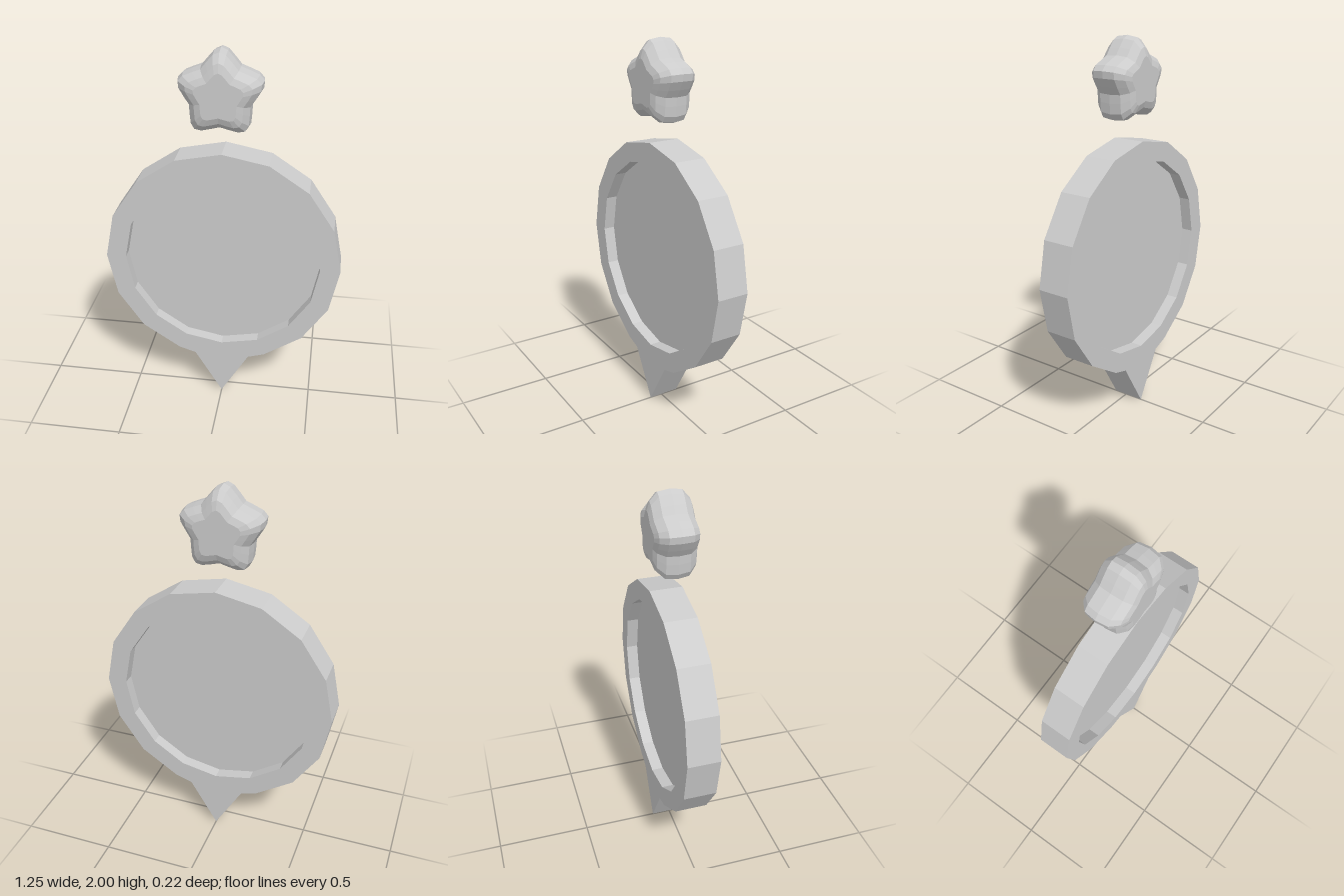
import * as THREE from 'three';

const CY = 0.86; // centre height of the disc
const material = new THREE.MeshStandardMaterial({ color: 0xcccccc, flatShading: true });

function named(name, geometry) {
  const mesh = new THREE.Mesh(geometry, material);
  mesh.name = name;
  return mesh;
}

// Regular 16-sided outline with a corner at the top
function ringPoints(radius) {
  return Array.from({ length: 16 }, (_, i) => {
    const a = Math.PI / 2 + (i * Math.PI) / 8;
    return new THREE.Vector2(radius * Math.cos(a), CY + radius * Math.sin(a));
  });
}

function extrude(shape, back, front) {
  return new THREE.ExtrudeGeometry(shape, { depth: front - back, bevelEnabled: false }).translate(0, 0, back);
}

// Rim outline whose bottom corner is pulled out into the pointer
function rimGeometry() {
  const outline = ringPoints(0.625);
  outline.splice(8, 1,
    new THREE.Vector2(-0.15, 0.255), new THREE.Vector2(0, 0), new THREE.Vector2(0.15, 0.255));
  const shape = new THREE.Shape(outline);
  shape.holes.push(new THREE.Path(ringPoints(0.52).reverse()));
  return extrude(shape, -0.1, 0.07);
}

// Puffy star: one star outline scaled through layers from back to front
function starGeometry() {
  const arm = [[-22, 0.179], [-9, 0.208], [0, 0.22], [9, 0.208], [22, 0.179], [36, 0.162]];
  const outline = [];
  for (let i = 0; i < 5; i++) {
    for (const [deg, r] of arm) {
      const a = THREE.MathUtils.degToRad(90 + i * 72 + deg);
      outline.push([r * Math.cos(a), r * Math.sin(a)]);
    }
  }
  const half = [[0.11, 0.57], [0.097, 0.77], [0.06, 0.96]];
  const layers = [...half.map(([z, s]) => [-z, s]), [0, 1], ...half.slice().reverse()];
  const n = outline.length;
  const positions = [];
  const index = [];
  for (const [z, s] of layers) {
    for (const [x, y] of outline) positions.push(x * s, y * s, z);
  }
  for (let k = 0; k < layers.length - 1; k++) {
    for (let i = 0; i < n; i++) {
      const a = k * n + i;
      const b = k * n + ((i + 1) % n);
      index.push(a, b, b + n, a, b + n, a + n);
    }
  }
  // Flat caps as fans around the centre
  const backCentre = layers.length * n;
  const last = (layers.length - 1) * n;
  positions.push(0, 0, -0.11, 0, 0, 0.11);
  for (let i = 0; i < n; i++) {
    const j = (i + 1) % n;
    index.push(backCentre, j, i, backCentre + 1, last + i, last + j);
  }
  const geometry = new THREE.BufferGeometry();
  geometry.setAttribute('position', new THREE.Float32BufferAttribute(positions, 3));
  geometry.setIndex(index);
  geometry.computeVertexNormals();
  return geometry;
}

export function createModel() {
  const model = new THREE.Group();
  model.name = 'mapMarker';
  model.add(named('rimWithPointer', rimGeometry()));
  // Thin plate recessed on both sides
  model.add(named('panel', extrude(new THREE.Shape(ringPoints(0.52)), -0.038, 0.008)));
  const star = named('star', starGeometry());
  star.position.set(-0.01, 1.78, 0);
  model.add(star);
  return model;
}
